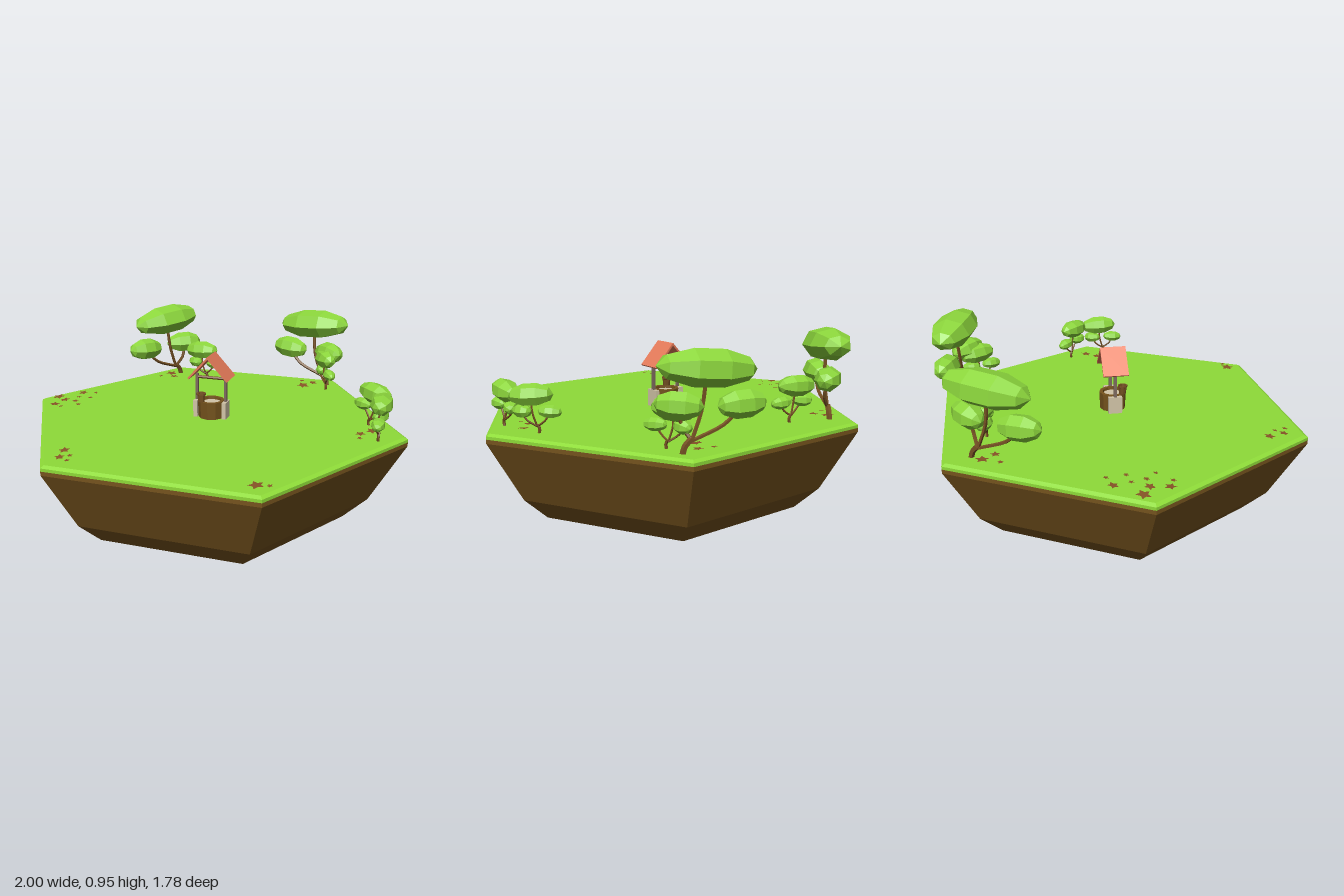
import * as THREE from 'three';

const flat = (name, color, side = THREE.FrontSide) => {
  const m = new THREE.MeshStandardMaterial({ color, side, flatShading: true });
  m.name = name;
  return m;
};
const MAT = {
  grass: flat('grass green', 0x8edb38),
  leaf: flat('leaf green', 0x8cd63c),
  dirt: flat('earth brown', 0x75531d),
  bark: flat('bark brown', 0x755023),
  roof: flat('terracotta', 0xe67b5a),
  stone: flat('pale stone', 0xd2c5a8),
  post: flat('grey wood', 0x7d6a5e),
  star: flat('fallen leaf brown', 0x875427, THREE.DoubleSide),
};
const GROUND = 0.51;

function add(parent, name, geo, mat, x = 0, y = 0, z = 0) {
  const m = new THREE.Mesh(geo, mat);
  m.name = name;
  m.position.set(x, y, z);
  parent.add(m);
  return m;
}

const lathe = (pts, sides, start = 0) =>
  new THREE.LatheGeometry(pts.map(p => new THREE.Vector2(...p)), sides, start);

// Long faceted leaf cushion with its poles on the x axis
const cushion = new THREE.SphereGeometry(1, 7, 5).rotateZ(Math.PI / 2).rotateX(0.3);

const tube = (pts, r) => new THREE.TubeGeometry(
  new THREE.CatmullRomCurve3(pts.map(p => new THREE.Vector3(...p))), 7, r, 5);

// Each cushion: centre x, y, z, then half sizes x, y, z, tilt and yaw
const BIG = {
  base: 0, fork: [-0.04, 0.06], r: 0.011,
  cushions: [
    [-0.105, 0.352, 0, 0.22, 0.084, 0.11, 0.08, 0],
    [-0.26, 0.192, 0, 0.11, 0.064, 0.065, -0.05, 0],
    [0.01, 0.2, 0.02, 0.105, 0.062, 0.065, 0.05, -0.45],
  ],
};
const SMALL = {
  base: 0.03, fork: [0.025, 0.04], r: 0.006,
  cushions: [
    [0, 0.175, 0, 0.104, 0.054, 0.056, 0.05, 0],
    [0.085, 0.1, 0, 0.056, 0.031, 0.034, -0.05, 0],
    [-0.04, 0.102, 0.005, 0.05, 0.033, 0.036, 0.05, -0.45],
  ],
};

function tree(parent, name, spec, x, z, turn) {
  const g = new THREE.Group();
  g.name = name;
  g.position.set(x, GROUND, z);
  g.rotation.y = turn;
  parent.add(g);
  const [fx, fy] = spec.fork;
  add(g, 'trunk', tube([[spec.base, -0.01, 0], [(spec.base + fx) / 2 + 0.008, fy * 0.5, 0], [fx, fy, 0]], spec.r * 1.25), MAT.bark);
  for (const [cx, cy, cz, sx, sy, sz, tilt, yaw] of spec.cushions) {
    const mid = [fx + (cx - fx) * 0.7, fy + (cy - fy) * 0.4, cz + 0.008];
    add(g, 'branch', tube([[fx, fy - 0.01, 0], mid, [cx, cy, cz]], spec.r * 0.8), MAT.bark);
    const leaf = add(g, 'leafCushion', cushion, MAT.leaf, cx, cy, cz);
    leaf.scale.set(sx, sy, sz);
    leaf.rotation.set(0, yaw, tilt);
  }
}

function starGeometry() {
  const s = new THREE.Shape();
  for (let i = 0; i < 10; i++) {
    const r = i % 2 ? 0.5 : 1, a = i * Math.PI / 5;
    if (i) s.lineTo(Math.sin(a) * r, Math.cos(a) * r);
    else s.moveTo(0, r);
  }
  return new THREE.ShapeGeometry(s).rotateX(-Math.PI / 2);
}

function well(parent) {
  const g = new THREE.Group();
  g.name = 'well';
  g.position.set(0, GROUND, 0.022);
  parent.add(g);
  // Wooden basin with a pale floor
  add(g, 'basin', lathe([[0.066, 0], [0.07, 0.09], [0.052, 0.09], [0.05, 0.07]], 10), MAT.dirt);
  add(g, 'basinFloor', new THREE.CylinderGeometry(0.051, 0.051, 0.006, 10), MAT.stone, 0, 0.074, 0);
  for (const s of [-1, 1]) {
    add(g, 'stoneSlab', new THREE.BoxGeometry(0.022, 0.088, 0.07), MAT.stone, s * 0.077, 0.044, 0);
    add(g, 'post', new THREE.BoxGeometry(0.013, 0.225, 0.016), MAT.post, s * 0.077, 0.1125, 0);
    const slope = add(g, 'roofSlope', new THREE.BoxGeometry(0.158, 0.01, 0.13), MAT.roof, s * 0.051, 0.269, 0);
    slope.rotation.z = -s * 0.83;
  }
  add(g, 'crossbar', new THREE.CylinderGeometry(0.008, 0.008, 0.16, 6).rotateZ(Math.PI / 2), MAT.bark, 0, 0.208, 0);
  // Bucket on the front rim
  add(g, 'bucket', lathe([[0, 0], [0.018, 0], [0.021, 0.034], [0.025, 0.036], [0.025, 0.045], [0.018, 0.045], [0.015, 0.01], [0, 0.01]], 8),
    MAT.bark, -0.04, 0.09, 0.045);
}

export function createModel() {
  const model = new THREE.Group();
  model.name = 'floatingIsland';

  // Hexagonal earth block and grass cap
  const start = Math.PI / 6;
  add(model, 'earth', lathe([[0, 0], [0.54, 0], [0.71, 0.042], [0.83, 0.158], [1, 0.465], [1, 0.485]], 6, start), MAT.dirt, 0, 0, 0.025);
  add(model, 'grass', lathe([[1, 0.485], [1, 0.5], [0.98, GROUND], [0, GROUND]], 6, start), MAT.grass, 0, 0, 0.025);

  well(model);

  tree(model, 'backRightTree', BIG, -0.445, -0.71, 1.01);
  tree(model, 'backLeftTree', BIG, 0.475, -0.735, -0.33);
  tree(model, 'backRightBush', SMALL, -0.28, -0.64, -0.15);
  tree(model, 'backLeftBush', SMALL, 0.468, -0.665, -1.1);
  tree(model, 'sideBushFront', SMALL, 0.868, 0.085, -1.6);
  tree(model, 'sideBushBack', SMALL, 0.82, -0.075, 2.4);

  // Star-shaped leaves scattered on the grass: x, z, radius
  const star = starGeometry();
  [
    [-0.915, -0.01, 0.037], [-0.82, -0.12, 0.028], [-0.75, -0.14, 0.015], [-0.805, -0.04, 0.015],
    [-0.74, -0.05, 0.015], [-0.855, 0.03, 0.028], [-0.79, 0.03, 0.018], [-0.745, 0.08, 0.015],
    [-0.87, 0.115, 0.029], [-0.82, 0.14, 0.015], [-0.485, 0.7, 0.03], [-0.465, 0.78, 0.026],
    [-0.43, 0.75, 0.015], [-0.415, 0.805, 0.015], [0.45, 0.795, 0.039], [0.505, 0.785, 0.015],
    [0.345, -0.66, 0.037], [0.39, -0.73, 0.026], [0.32, -0.75, 0.016], [0.775, 0.06, 0.027],
    [0.825, 0, 0.032], [0.78, 0.12, 0.015], [-0.49, -0.66, 0.036], [-0.45, -0.6, 0.026], [-0.53, -0.58, 0.016],
  ].forEach(([x, z, r], i) => {
    const m = add(model, 'fallenLeaf', star, MAT.star, x, GROUND + 0.006, z);
    m.scale.setScalar(r);
    m.rotation.set(0.08, i * 1.3, 0.06);
  });
  return model;
}
